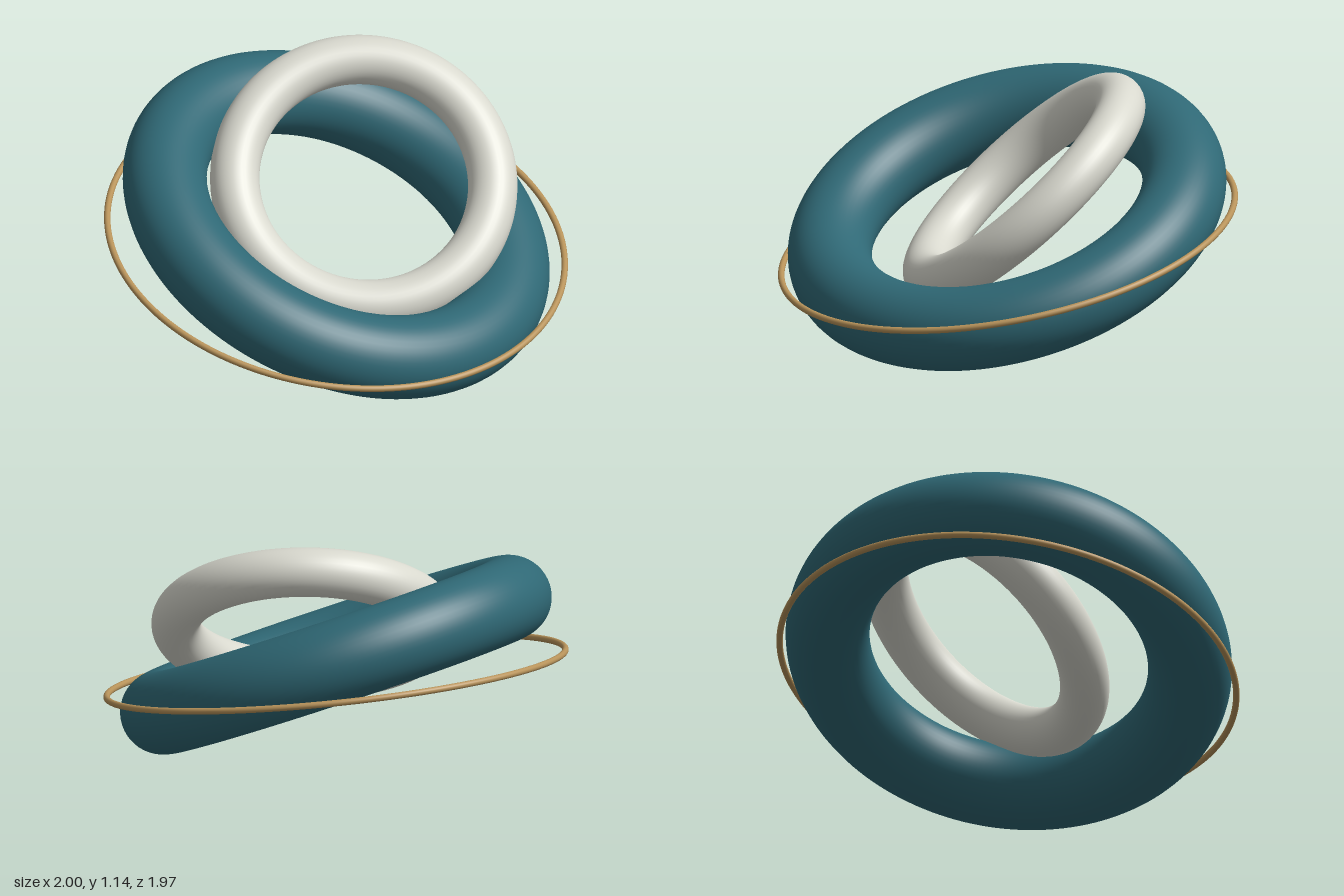
import * as THREE from 'three';

const teal = new THREE.MeshStandardMaterial({ color: 0x2f6875 });
teal.name = 'teal';
const ivory = new THREE.MeshStandardMaterial({ color: 0xd8d8ce });
ivory.name = 'ivory';
const gold = new THREE.MeshStandardMaterial({ color: 0xb8935a });
gold.name = 'gold';

// A smooth ring whose axis points along the given normal
function ring(name, material, radius, tube, sides, center, normal) {
  const mesh = new THREE.Mesh(new THREE.TorusGeometry(radius, tube, sides, 160), material);
  mesh.name = name;
  mesh.position.set(...center);
  mesh.quaternion.setFromUnitVectors(
    new THREE.Vector3(0, 0, 1),
    new THREE.Vector3(...normal).normalize()
  );
  return mesh;
}

export function createModel() {
  const group = new THREE.Group();
  group.name = 'interlockedRings';
  group.add(
    // Thick ring, leaning down towards its left and front
    ring('largeRing', teal, 0.784, 0.18, 48, [0, 0.502, 0], [0.299, 0.911, 0.283]),
    // Medium ring, tilted forward through the large one
    ring('innerRing', ivory, 0.555, 0.106, 36, [0.133, 0.664, -0.059], [-0.04, 0.745, 0.667]),
    // Thin hoop circling the outside
    ring('outerHoop', gold, 0.988, 0.014, 16, [0, 0.42, -0.004], [0.093, 0.976, 0.195])
  );
  return group;
}
